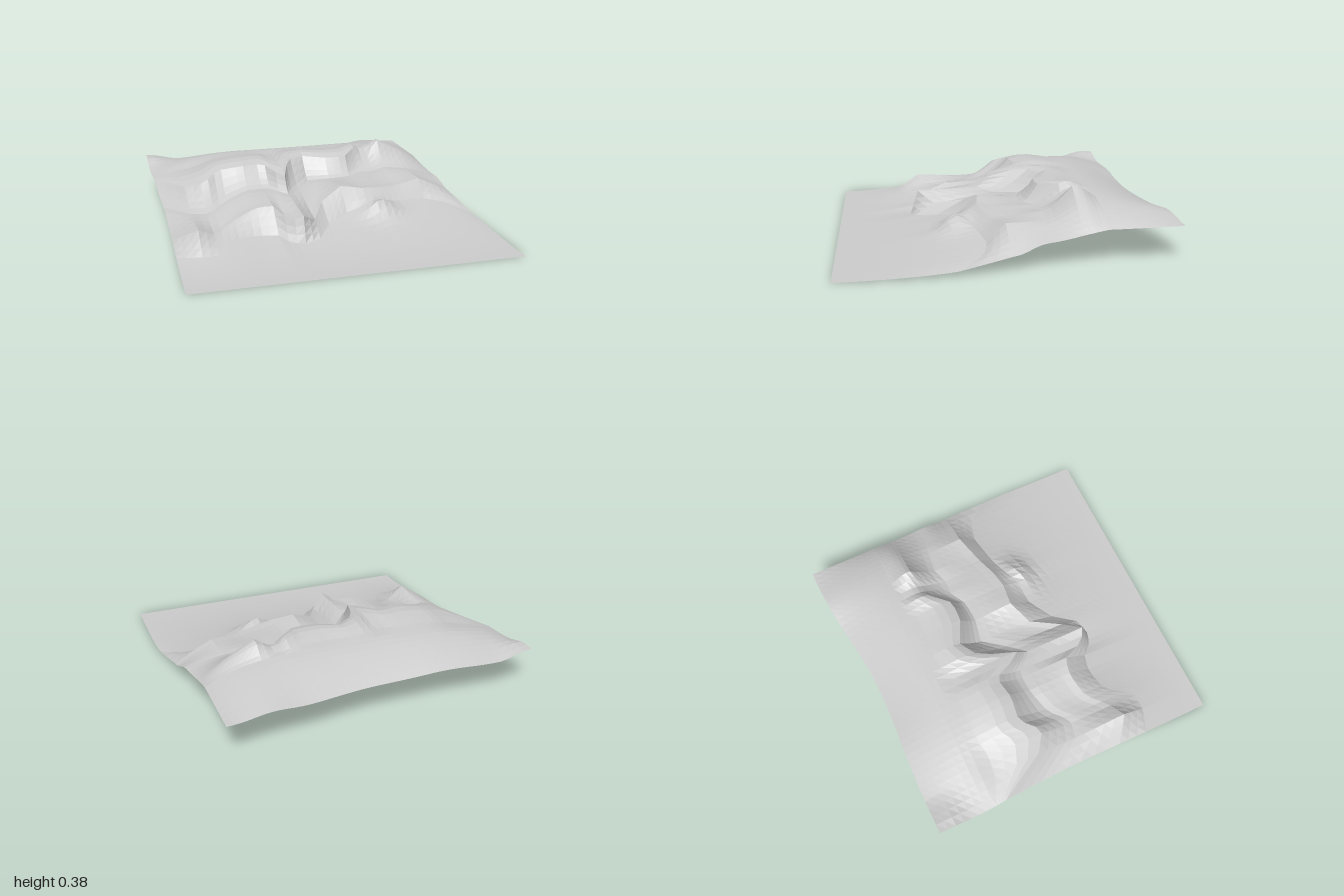
import * as THREE from 'three';

// Each row: x, foot z, foot y, brink z, brink y
const lowerCliff = [
  [-0.96, 0.55, 0.035, 0.35, 0.065], [-0.82, 0.6, 0.04, 0.45, 0.15],
  [-0.7, 0.6, 0.04, 0.4, 0.09], [-0.6, 0.43, 0.07, 0.29, 0.12],
  [-0.45, 0.4, 0.06, 0.25, 0.18], [-0.34, 0.42, 0.06, 0.27, 0.2],
  [-0.27, 0.5, 0.03, 0.43, 0.15], [-0.19, 0.52, 0.03, 0.47, 0.185],
  [-0.1, 0.5, 0.04, 0.38, 0.12], [0, 0.35, 0.07, 0.18, 0.165],
  [0.15, 0.25, 0.1, 0.11, 0.235], [0.28, 0.24, 0.1, 0.13, 0.21],
  [0.4, 0.19, 0.12, 0.11, 0.2], [0.55, 0.15, 0.115, 0.06, 0.19],
  [0.72, 0.12, 0.1, 0.01, 0.21], [0.85, 0.15, 0.075, 0.01, 0.15],
  [0.96, 0.3, 0.03, 0, 0.09],
];
const upperCliff = [
  [-0.96, -0.12, 0.115, -0.46, 0.205], [-0.82, 0.1, 0.13, -0.16, 0.225],
  [-0.7, 0.13, 0.13, -0.08, 0.265], [-0.6, 0.02, 0.16, -0.19, 0.31],
  [-0.45, -0.03, 0.21, -0.17, 0.33], [-0.3, -0.04, 0.21, -0.2, 0.33],
  [-0.2, 0.08, 0.2, 0.02, 0.29], [-0.12, 0, 0.18, -0.24, 0.335],
  [0, -0.17, 0.2, -0.31, 0.33], [0.15, -0.14, 0.21, -0.24, 0.325],
  [0.28, -0.15, 0.21, -0.24, 0.325], [0.38, -0.21, 0.22, -0.36, 0.35],
  [0.46, -0.2, 0.215, -0.36, 0.28], [0.57, -0.24, 0.23, -0.4, 0.38],
  [0.75, -0.22, 0.21, -0.4, 0.295], [0.85, -0.2, 0.18, -0.4, 0.24],
  [0.96, -0.2, 0.15, -0.4, 0.18],
];
// Rounded rises and dips: x, z, height, x radius, z radius
const mounds = [
  [-0.96, -0.8, 0.02, 0.1, 0.08],
  [-0.72, -0.46, -0.015, 0.14, 0.12],
  [0.35, 0.27, 0.075, 0.12, 0.085],
];

const { lerp, smoothstep } = THREE.MathUtils;

function sample(rows, x) {
  let i = 0;
  while (i < rows.length - 2 && x > rows[i + 1][0]) i++;
  const t = THREE.MathUtils.clamp((x - rows[i][0]) / (rows[i + 1][0] - rows[i][0]), 0, 1);
  return rows[i].map((v, k) => lerp(v, rows[i + 1][k], t));
}

// One front-to-back cross-section of the land, as [z, y] points
function section(x) {
  const [, zA, yA, zB, yB] = sample(lowerCliff, x);
  const [, zC, yC, zD, yD] = sample(upperCliff, x);
  const inland = 1 - (x / 0.96) ** 4;
  const zMid = -0.54;
  const yMid = 0.205 + 0.12 * inland;
  const zBack = -0.895 - 0.09 * smoothstep(x, 0, 1.05) - 0.01 * Math.cos(5 * x + 3.6);
  const yBack = 0.21 + 0.04 * smoothstep(-x, 0.75, 0.96)
    + 0.025 * Math.exp(-(((x - 0.66) / 0.16) ** 2)) + 0.015 * Math.exp(-(((x + 0.45) / 0.2) ** 2));
  const points = [];
  const run = (n, z0, z1, height) => {
    for (let i = 0; i < n; i++) points.push([lerp(z0, z1, i / n), height(i / n)]);
  };
  const bend = t => t * t * (3 - 2 * t);
  run(13, 0.98, zA, t => yA * t * t);                     // plain
  run(3, zA, zB, t => lerp(yA, yB, t));                   // lower cliff
  run(5, zB, zC, t => lerp(yB, yC, bend(t)));             // bench
  run(4, zC, zD, t => lerp(yC, yD, t ** 1.4));            // upper cliff
  run(5, zD, zMid, t => lerp(yD, yMid, t)
    + 0.04 * inland * (1 - t) * Math.sin(Math.PI * t));   // plateau
  run(7, zMid, zBack, t => lerp(yMid, yBack, t ** 1.5));  // back slope
  points.push([zBack, yBack]);
  for (const p of points) {
    for (const [mx, mz, h, rx, rz] of mounds) {
      p[1] += h * Math.exp(-(((x - mx) / rx) ** 2) - ((p[0] - mz) / rz) ** 2);
    }
  }
  return points;
}

export function createModel() {
  const group = new THREE.Group();
  const columns = 40;
  const positions = [];
  const index = [];
  let rows = 0;
  for (let i = 0; i <= columns; i++) {
    const x = lerp(-0.96, 0.96, i / columns);
    const points = section(x);
    rows = points.length;
    for (const [z, y] of points) {
      // side edges lean towards -x at the back
      const shift = x < 0
        ? -0.04 * smoothstep(-z, 0, 0.75)
        : 0.04 - 0.095 * smoothstep(-z, -0.5, 0.6);
      positions.push(x + shift * (x / 0.96) ** 4, y, z);
    }
  }
  for (let i = 0; i < columns; i++) {
    for (let j = 0; j < rows - 1; j++) {
      const a = i * rows + j;
      const b = a + rows;
      index.push(a, b, b + 1, a, b + 1, a + 1);
    }
  }
  const geometry = new THREE.BufferGeometry();
  geometry.setAttribute('position', new THREE.Float32BufferAttribute(positions, 3));
  geometry.setIndex(index);
  geometry.computeVertexNormals();

  const stone = new THREE.MeshStandardMaterial({
    color: 0xcccccc, flatShading: true, side: THREE.DoubleSide,
  });
  stone.name = 'stone grey';
  const terrain = new THREE.Mesh(geometry, stone);
  terrain.name = 'terrain';
  group.add(terrain);
  return group;
}
